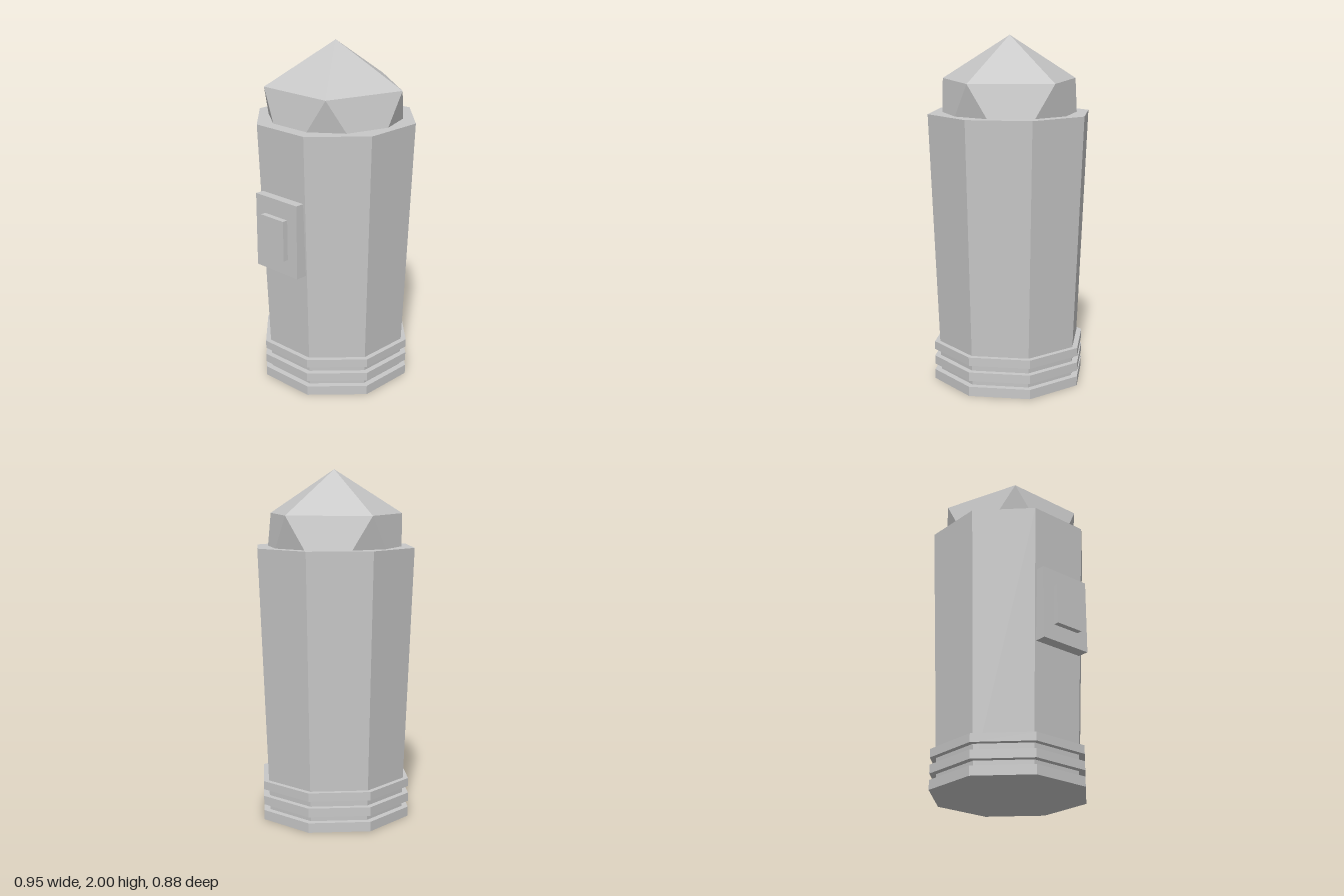
import * as THREE from 'three';

export function createModel() {
  const model = new THREE.Group();
  model.name = 'bollard';
  const grey = new THREE.MeshStandardMaterial({ color: 0xc8c8c8 });
  grey.name = 'grey';
  const axisX = 0.033; // the post stands slightly off centre because of the side plate

  function add(name, geometry, x, y, z) {
    const flat = geometry.index ? geometry.toNonIndexed() : geometry;
    flat.computeVertexNormals(); // faceted look
    const mesh = new THREE.Mesh(flat, grey);
    mesh.name = name;
    mesh.position.set(x, y, z);
    model.add(mesh);
  }

  // Eight-sided prism with flats facing the axes, sized by its half width
  function addOctagon(name, halfBottom, halfTop, y0, y1) {
    const k = 1 / Math.cos(Math.PI / 8);
    const g = new THREE.CylinderGeometry(halfTop * k, halfBottom * k, y1 - y0, 8);
    g.rotateY(Math.PI / 8);
    add(name, g, axisX, (y0 + y1) / 2, 0);
  }

  // Tapered post
  addOctagon('post', 0.381, 0.439, 0.02, 1.565);

  // Base rings
  [[0, 0.055], [0.09, 0.14], [0.18, 0.228]].forEach(([y0, y1], i) => {
    addOctagon('baseRing' + (i + 1), 0.418, 0.418, y0, y1);
  });

  // Faceted head, one vertex straight up and one upper vertex toward +x
  const head = new THREE.IcosahedronGeometry(0.453, 0);
  head.rotateZ(-Math.atan(2 / (1 + Math.sqrt(5))));
  add('head', head, axisX, 1.547, 0);

  // Stepped plate on the right side
  function addPlate(name, xOuter, xInner, y0, y1, halfDepth) {
    add(name, new THREE.BoxGeometry(xInner - xOuter, y1 - y0, halfDepth * 2),
      (xOuter + xInner) / 2, (y0 + y1) / 2, 0);
  }
  addPlate('sidePlate', -0.443, -0.35, 0.75, 1.18, 0.161);
  addPlate('sideButton', -0.475, -0.43, 0.845, 1.08, 0.088);

  return model;
}
